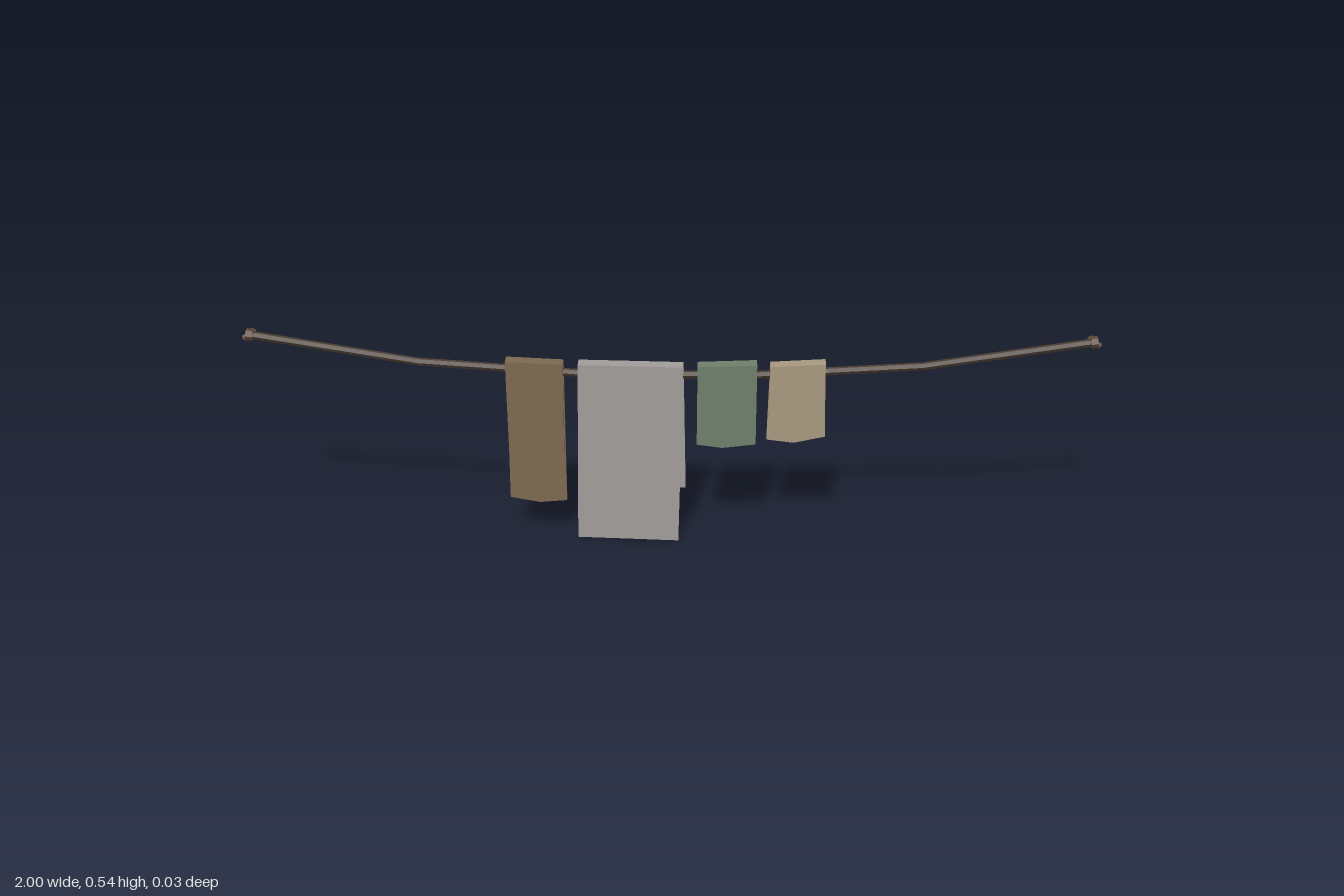
import * as THREE from 'three';

const flat = (name, color) => {
  const m = new THREE.MeshStandardMaterial({ color, flatShading: true });
  m.name = name;
  return m;
};

// Cylinder between two points of the z = 0 plane
function rod(a, b, r0, r1, material, name, sides = 6) {
  const p = new THREE.Vector3(a[0], a[1], a[2] || 0);
  const q = new THREE.Vector3(b[0], b[1], b[2] || 0);
  const d = q.clone().sub(p);
  const mesh = new THREE.Mesh(new THREE.CylinderGeometry(r1, r0, d.length(), sides), material);
  mesh.position.copy(p).add(q).multiplyScalar(0.5);
  mesh.quaternion.setFromUnitVectors(new THREE.Vector3(0, 1, 0), d.normalize());
  mesh.name = name;
  return mesh;
}

// Slab cut from an outline in the xy plane, from z0 to z1
function slab(points, z0, z1, material, name) {
  const shape = new THREE.Shape(points.map(([x, y]) => new THREE.Vector2(x, y)));
  const geo = new THREE.ExtrudeGeometry(shape, { depth: z1 - z0, bevelEnabled: false });
  geo.translate(0, 0, z0);
  const mesh = new THREE.Mesh(geo, material);
  mesh.name = name;
  return mesh;
}

// Cloth folded over the rope: top = [x0, y0, x1, y1];
// front and back = [x, y] corners of the hem, left to right
function cloth({ name, top: [x0, y0, x1, y1], front, back, material }) {
  const g = new THREE.Group();
  g.name = name;
  const inner = 0.0075, outer = 0.0165, t = 0.009;
  const panel = (hem) => [...hem, [x1, y1], [x0, y0]];
  g.add(slab(panel(front), inner, outer, material, 'frontPanel'));
  g.add(slab(panel(back), -outer, -inner, material, 'backPanel'));
  g.add(slab([[x0, y0 - t], [x1, y1 - t], [x1, y1], [x0, y0]], -inner, inner, material, 'fold'));
  return g;
}

export function createModel() {
  const model = new THREE.Group();
  model.name = 'clothesline';
  const rope = flat('rope brown', 0x4a3d33);
  const knotMat = flat('knot brown', 0x5c4a3b);
  const brown = flat('brown cloth', 0x7b6851);
  const grey = flat('grey cloth', 0xa09c9a);
  const green = flat('green cloth', 0x6d7f6b);
  const beige = flat('beige cloth', 0xa8987f);

  // Sagging rope
  const path = [[-0.985, 0.528], [-0.59, 0.463], [-0.2, 0.437], [0.2, 0.437], [0.59, 0.463], [0.985, 0.528]];
  for (let i = 0; i < path.length - 1; i++)
    model.add(rod(path[i], path[i + 1], 0.0095, 0.0095, rope, 'ropeSegment'));

  // Knots with short loose ends
  for (const s of [-1, 1]) {
    const knot = new THREE.Group();
    knot.name = s < 0 ? 'rightKnot' : 'leftKnot';
    knot.add(rod([s * 0.974, 0.526], [s * 0.99, 0.529], 0.014, 0.014, knotMat, 'knotBand'));
    knot.add(rod([s * 0.985, 0.518], [s * 0.971, 0.54], 0.008, 0.008, knotMat, 'looseEnd', 5));
    knot.add(rod([s * 0.98, 0.526], [s * 0.996, 0.519], 0.007, 0.008, knotMat, 'ropeTip', 5));
    model.add(knot);
  }

  const cloths = [
    {
      name: 'brownCloth', material: brown, top: [-0.385, 0.471, -0.25, 0.465],
      front: [[-0.383, 0.216], [-0.31, 0.2], [-0.252, 0.208]],
      back: [[-0.387, 0.104], [-0.315, 0.091], [-0.25, 0.097]],
    },
    {
      name: 'greyCloth', material: grey, top: [-0.215, 0.465, 0.032, 0.461],
      front: [[-0.223, 0.009], [0.021, 0.002]],
      back: [[-0.208, 0.141], [0.038, 0.135]],
    },
    {
      name: 'greenCloth', material: green, top: [0.065, 0.462, 0.204, 0.468],
      front: [[0.064, 0.262], [0.125, 0.254], [0.204, 0.264]],
      back: [[0.066, 0.315], [0.135, 0.306], [0.203, 0.317]],
    },
    {
      name: 'beigeCloth', material: beige, top: [0.235, 0.464, 0.364, 0.472],
      front: [[0.232, 0.315], [0.29, 0.306], [0.36, 0.32]],
      back: [[0.23, 0.266], [0.295, 0.258], [0.369, 0.275]],
    },
  ];
  cloths.forEach((c) => model.add(cloth(c)));
  return model;
}
